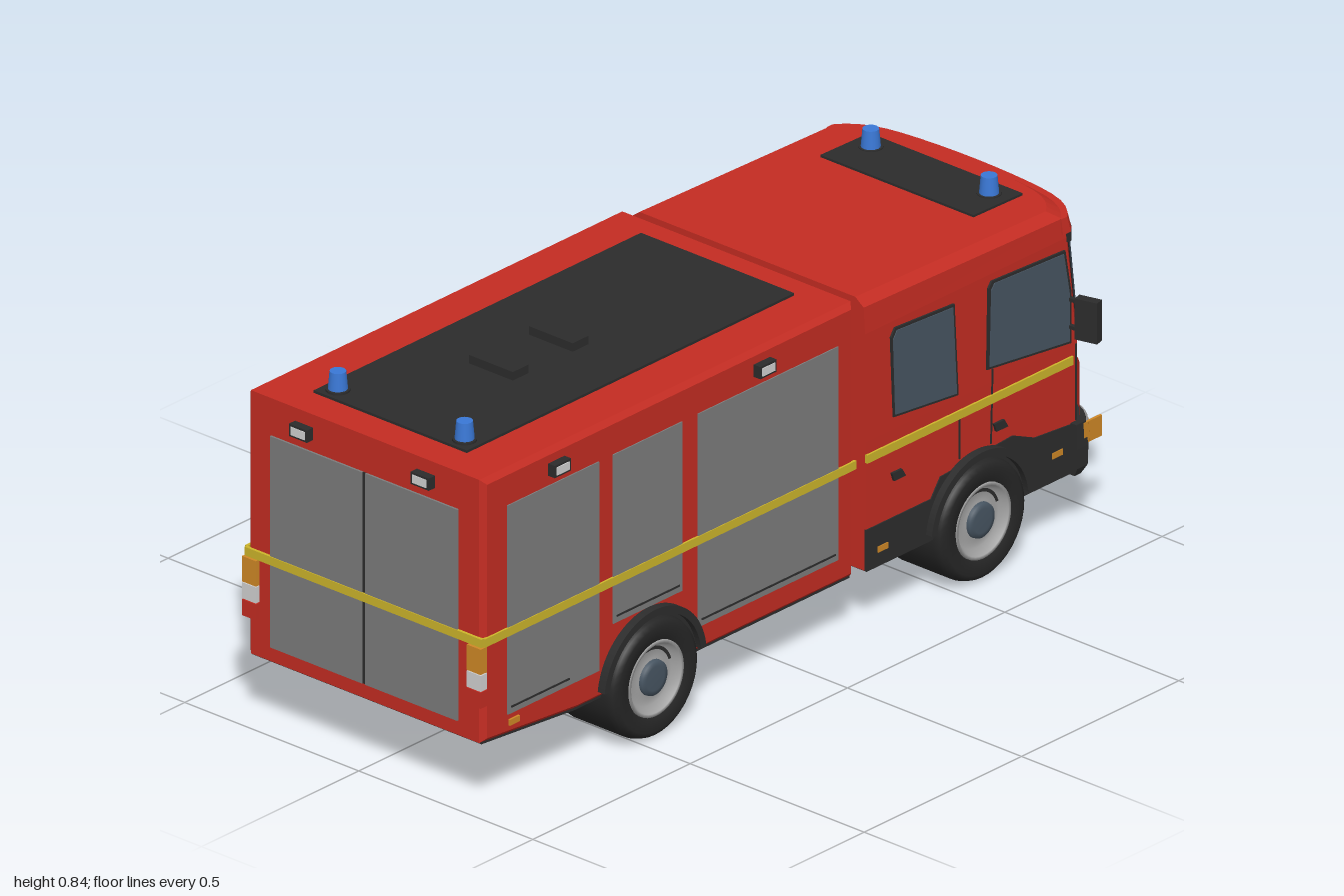
import * as THREE from 'three';

const mat = (name, color, double) => {
  const m = new THREE.MeshStandardMaterial({ color });
  m.name = name;
  if (double) m.side = THREE.DoubleSide;
  return m;
};

export function createModel() {
  const root = new THREE.Group();
  root.name = 'fireEngine';
  const red = mat('red paint', 0xc42c22, true);
  const black = mat('black trim', 0x2c2c2c, true);
  const grey = mat('shutter grey', 0x7c7c7c);
  const slate = mat('slate glass', 0x475562, true);
  const yellow = mat('yellow', 0xcdb52b, true);
  const blue = mat('beacon blue', 0x3a78d6);
  const white = mat('lamp white', 0xd2d2d2, true);
  const orange = mat('indicator orange', 0xcf8826, true);
  const silver = mat('wheel silver', 0xa6a6a6, true);
  const rubber = mat('tyre rubber', 0x262626);

  const add = (name, geo, m, x = 0, y = 0, z = 0) => {
    const mesh = new THREE.Mesh(geo, m);
    mesh.name = name;
    mesh.position.set(x, y, z);
    root.add(mesh);
    return mesh;
  };
  const box = (name, m, x0, x1, y0, y1, z0, z1) => add(name,
    new THREE.BoxGeometry(x1 - x0, y1 - y0, z1 - z0), m, (x0 + x1) / 2, (y0 + y1) / 2, (z0 + z1) / 2);
  const shapeOf = pts => new THREE.Shape(pts.map(p => new THREE.Vector2(...p)));
  // thin plate on both long sides
  const sidePlate = (name, m, pts, z = 0.338, depth = 0.006) => {
    const geo = new THREE.ExtrudeGeometry(shapeOf(pts), { depth, bevelEnabled: false });
    for (const zz of [z, -z - depth]) add(name, geo, m, 0, 0, zz);
  };
  const rect = (x0, x1, y0, y1) => [[x0, y0], [x1, y0], [x1, y1], [x0, y1]];
  const both = fn => [1, -1].forEach(fn);

  // curved cab front: x falls away toward the corners
  const bow = (front, z, w) => { const t = Math.abs(z / w); return front - 0.03 * t ** 2 - 0.05 * t ** 8; };
  const mesh3 = tris => {
    const g = new THREE.BufferGeometry();
    g.setAttribute('position', new THREE.Float32BufferAttribute(tris.flat(), 3));
    g.computeVertexNormals();
    return g;
  };
  // stacked horizontal rings, each level = [y, frontX, halfWidth]
  const loft = (name, m, levels, back, slope = 0) => {
    const n = 20;
    const rings = levels.map(([y, f, w]) => {
      const r = [];
      for (let i = 0; i <= n; i++) {
        const z = w * Math.cos(Math.PI * i / n);
        r.push([bow(f, z, w), y, z]);
      }
      r.push([back, y, -w], [back, y, w]);
      if (y > 0.74) r.forEach(p => { p[1] -= slope * (p[0] - back); });
      return r;
    });
    const t = [], k = n + 3;
    for (let j = 0; j + 1 < rings.length; j++) for (let i = 0; i < k; i++) {
      const a = rings[j][i], b = rings[j][(i + 1) % k], c = rings[j + 1][(i + 1) % k], d = rings[j + 1][i];
      t.push(a, b, c, a, c, d);
    }
    const lo = rings[0], hi = rings[rings.length - 1];
    for (let i = 1; i + 1 < k; i++) t.push(hi[0], hi[i], hi[i + 1], lo[0], lo[i + 1], lo[i]);
    return add(name, mesh3(t), m);
  };
  // thin skin following the curved front
  const patch = (name, m, y0, y1, z0, z1, f0, f1 = f0, w = 0.34) => {
    const n = 24, t = [];
    const p = (y, f, i) => { const z = z1 + (z0 - z1) * i / n; return [bow(f, z, w), y, z]; };
    for (let i = 0; i < n; i++) {
      const a = p(y0, f0, i), b = p(y0, f0, i + 1), c = p(y1, f1, i + 1), d = p(y1, f1, i);
      t.push(a, b, c, a, c, d);
    }
    return add(name, mesh3(t), m);
  };

  // rear body with bevelled edges and raked tail
  const body = new THREE.ExtrudeGeometry(
    shapeOf([[-0.98, 0.165], [-0.68, 0.14], [0.2, 0.14], [0.2, 0.788], [-0.98, 0.788]]),
    { depth: 0.656, bevelThickness: 0.012, bevelSize: 0.012, bevelOffset: -0.012, bevelSegments: 1 });
  add('rearBody', body, red, 0, 0, -0.328);
  add('rearFloor', new THREE.ExtrudeGeometry(
    shapeOf([[-0.975, 0.161], [-0.68, 0.136], [0.195, 0.136], [0.195, 0.15], [-0.68, 0.15], [-0.975, 0.175]]),
    { depth: 0.66, bevelEnabled: false }), black, 0, 0, -0.33);
  box('chassisLink', black, 0.19, 0.25, 0.15, 0.24, -0.295, 0.295);

  // cab shell, floor and bumper
  loft('cabShell', red, [[0.14, 0.975, 0.34], [0.2, 0.985, 0.34], [0.445, 0.985, 0.34],
    [0.7, 0.955, 0.338], [0.762, 0.945, 0.334], [0.78, 0.92, 0.31]], 0.235, 0.024);
  box('cabFloor', black, 0.24, 0.89, 0.136, 0.145, -0.338, 0.338);
  loft('bumper', black, [[0.136, 0.985, 0.352], [0.155, 0.998, 0.36], [0.2, 1, 0.36], [0.258, 0.995, 0.357]], 0.885);
  loft('sunVisor', red, [[0.712, 0.965, 0.342], [0.748, 0.958, 0.337]], 0.86);
  loft('visorBase', black, [[0.69, 0.966, 0.342], [0.712, 0.966, 0.342]], 0.875);

  // windscreen and front details
  patch('windscreenFrame', black, 0.443, 0.692, -0.3405, 0.3405, 0.988, 0.959, 0.3405);
  patch('windscreen', slate, 0.447, 0.69, -0.334, 0.334, 0.991, 0.962, 0.341);
  patch('grille', black, 0.2, 0.443, -0.217, 0.217, 1.001, 0.992);
  for (const y of [0.225, 0.257, 0.295, 0.34, 0.39])
    patch('grilleStripe', yellow, y - 0.005, y + 0.005, -0.21, 0.21, 1.003 - (y - 0.2) * 0.035);
  patch('frontPlate', red, 0.17, 0.19, -0.077, 0.077, 1.003, 1.003, 0.36);
  both(s => {
    const span = (a, b) => s > 0 ? [a, b] : [-b, -a];
    patch('headlamp', white, 0.203, 0.255, ...span(0.228, 0.338), 1.004, 0.999, 0.36);
    patch('frontIndicator', orange, 0.205, 0.255, ...span(0.34, 0.361), 1.004, 1, 0.361);
    patch('fogLamp', white, 0.155, 0.187, ...span(0.24, 0.32), 1.003, 1.003, 0.36);
    patch('roofLamp', white, 0.706, 0.742, ...span(0.13, 0.195), 0.969, 0.963, 0.342);
    patch('cornerPanel', red, 0.268, 0.38, ...span(0.233, 0.343), 0.99, 0.99, 0.343);
    // mirrors on two arms
    const mirror = box('mirror', black, 0.868, 0.89, 0.475, 0.572, s * 0.397 - 0.027, s * 0.397 + 0.027);
    mirror.rotation.y = s * 0.25;
    for (const y of [0.49, 0.555])
      box('mirrorArm', black, 0.876, 0.886, y - 0.004, y + 0.004, s * 0.357 - 0.022, s * 0.357 + 0.022);
  });
  sidePlate('indicatorSide', orange, rect(0.908, 0.965, 0.206, 0.255), 0.353, 0.006);

  // roller shutters, handles and side stripe
  for (const [x0, x1, y0, hx] of [[-0.905, -0.615, 0.21, -0.7], [-0.57, -0.35, 0.305, -0.35], [-0.3, 0.145, 0.2, 0.145]]) {
    sidePlate('shutter', grey, rect(x0, x1, y0, 0.705), 0.337);
    sidePlate('shutterBar', black, rect(x0 + 0.01, hx - 0.01, y0 + 0.014, y0 + 0.018), 0.339);
  }
  sidePlate('sideStripe', yellow, rect(-0.98, 0.2, 0.396, 0.416), 0.338, 0.007);
  sidePlate('cabStripe', yellow, rect(0.235, 0.89, 0.396, 0.416), 0.338, 0.007);

  // cab side windows, skirts, seams and handles
  const windows = [
    [[0.325, 0.48], [0.52, 0.46], [0.508, 0.668], [0.33, 0.678], [0.318, 0.66]],
    [[0.625, 0.485], [0.878, 0.455], [0.878, 0.57], [0.86, 0.668], [0.64, 0.678], [0.63, 0.665]]];
  for (const pts of windows) {
    const cx = pts.reduce((a, p) => a + p[0], 0) / pts.length;
    sidePlate('windowFrame', black, pts.map(([x, y]) => [cx + (x - cx) * 1.06, 0.57 + (y - 0.57) * 1.06]), 0.337);
    sidePlate('sideWindow', slate, pts, 0.339);
  }
  sidePlate('skirt', black, [[0.235, 0.14], [0.89, 0.14], [0.89, 0.255], [0.77, 0.265], [0.7, 0.295],
    [0.47, 0.28], [0.44, 0.238], [0.235, 0.238]], 0.337);
  for (const [x, x2, y0, y1] of [[0.53, 0.53, 0.3, 0.395], [0.63, 0.635, 0.3, 0.475], [0.9, 0.9, 0.26, 0.44]])
    sidePlate('doorSeam', black, [[x, y0], [x + 0.004, y0], [x2 + 0.004, y1], [x2, y1]], 0.336);
  for (const x of [0.335, 0.66]) sidePlate('doorHandle', black,
    [[x - 0.022, 0.345], [x - 0.015, 0.325], [x + 0.022, 0.325], [x + 0.01, 0.345]], 0.338, 0.008);
  for (const [x, y] of [[0.285, 0.18], [0.84, 0.202], [-0.885, 0.19]])
    sidePlate('sideMarker', orange, rect(x - 0.016, x + 0.016, y - 0.007, y + 0.007), 0.339);

  // side work lamps
  for (const x of [-0.748, -0.095]) {
    sidePlate('workLampHousing', black, rect(x - 0.026, x + 0.026, 0.728, 0.757), 0.335, 0.024);
    sidePlate('workLampLens', white, rect(x - 0.02, x + 0.02, 0.733, 0.752), 0.357, 0.004);
  }

  // tail: doors, stripe and lamps
  both(s => {
    box('rearDoor', grey, -0.985, -0.979, 0.2, 0.7, s * 0.1365 - 0.1325, s * 0.1365 + 0.1325);
    box('rearLampHousing', black, -1, -0.975, 0.728, 0.757, s * 0.175 - 0.026, s * 0.175 + 0.026);
    box('rearLampLens', white, -1.002, -0.998, 0.733, 0.752, s * 0.175 - 0.02, s * 0.175 + 0.02);
    [[orange, 0.335, 0.395], [white, 0.295, 0.333], [red, 0.255, 0.293]].forEach(([m, y0, y1]) =>
      box('tailLamp', m, -0.992, -0.972, y0, y1, s * 0.323 - 0.02, s * 0.323 + 0.02));
  });
  box('rearDoorGap', black, -0.983, -0.979, 0.2, 0.7, -0.004, 0.004);
  box('rearStripe', yellow, -0.987, -0.979, 0.396, 0.416, -0.34, 0.34);

  // roof panels, hatches and beacons
  box('roofPanel', black, -0.9, 0.14, 0.785, 0.794, -0.22, 0.22);
  for (const x of [-0.555, -0.365]) box('roofHatch', black, x - 0.025, x + 0.025, 0.79, 0.814, -0.063, 0.063);
  const cabPanel = box('cabRoofPanel', black, 0.71, 0.866, 0.763, 0.772, -0.22, 0.22);
  cabPanel.rotation.z = -0.024;
  for (const [x, y, z] of [[-0.865, 0.79, 0.182], [0.815, 0.765, 0.17]]) both(s => {
    add('beaconBase', new THREE.CylinderGeometry(0.027, 0.027, 0.01, 16), black, x, y + 0.004, s * z);
    add('beacon', new THREE.CylinderGeometry(0.018, 0.022, 0.045, 16), blue, x, y + 0.028, s * z);
  });

  // wheels with arches; lathe axis turned to point outward
  const lathe = pts => new THREE.LatheGeometry(pts.map(p => new THREE.Vector2(...p)), 40);
  const tyre = lathe([[0.085, 0.18], [0.128, 0.18], [0.138, 0.188], [0.14, 0.2], [0.14, 0.252], [0.137, 0.255],
    [0.14, 0.258], [0.14, 0.34], [0.134, 0.358], [0.122, 0.365], [0.09, 0.363], [0.085, 0.35]]);
  const rim = lathe([[0, 0.185], [0.088, 0.185], [0.088, 0.362], [0.08, 0.362], [0.068, 0.343], [0.045, 0.35], [0, 0.35]]);
  const hub = lathe([[0.042, 0.345], [0.04, 0.358], [0.028, 0.36], [0, 0.36]]);
  const arch = (r0, r1, depth) => {
    const a = Math.asin(0.02 / r1), shape = new THREE.Shape();
    shape.absarc(0, 0, r1, a, Math.PI - a, false);
    if (r0) shape.absarc(0, 0, r0, Math.PI - a, a, true);
    return new THREE.ExtrudeGeometry(shape, { depth, bevelEnabled: false, curveSegments: 24 });
  };
  const well = arch(0, 0.16, 0.008), fender = arch(0.146, 0.163, 0.03);
  for (const x of [-0.455, 0.585]) both(s => {
    const wheel = new THREE.Group();
    wheel.name = 'wheel';
    wheel.position.set(x, 0.14, 0);
    wheel.rotation.x = s * Math.PI / 2;
    for (const [name, g, m] of [['tyre', tyre, rubber], ['rim', rim, silver], ['hub', hub, slate]]) {
      const part = new THREE.Mesh(g, m);
      part.name = name;
      wheel.add(part);
    }
    root.add(wheel);
    add('wheelWell', well, black, x, 0.14, s > 0 ? 0.337 : -0.345);
    add('fender', fender, black, x, 0.14, s > 0 ? 0.33 : -0.36);
  });
  return root;
}
